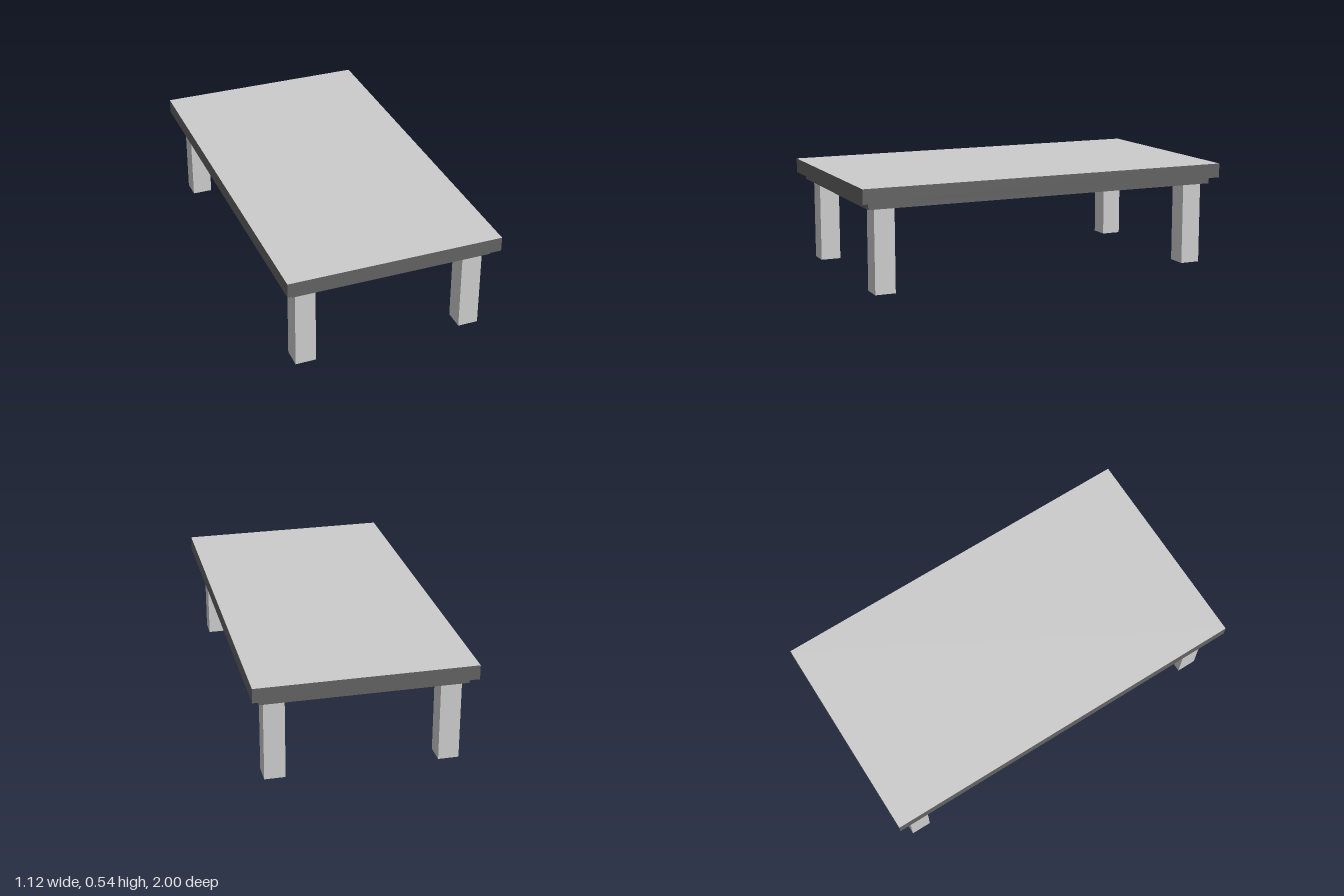
import * as THREE from 'three';

const light = new THREE.MeshStandardMaterial({ color: 0xcccccc });
const dark = new THREE.MeshStandardMaterial({ color: 0x626262 });

const LEG_TOP = 0.465, TOP = 0.54, APRON_BOTTOM = 0.43;

// Rectangle outline centred on the origin
function rectangle(PathType, halfX, halfZ) {
  return new PathType([
    new THREE.Vector2(-halfX, -halfZ),
    new THREE.Vector2(halfX, -halfZ),
    new THREE.Vector2(halfX, halfZ),
    new THREE.Vector2(-halfX, halfZ),
  ]);
}

export function createModel() {
  const table = new THREE.Group();
  table.name = 'table';

  // Top slab with dark edges
  const slab = new THREE.Mesh(
    new THREE.BoxGeometry(1.115, TOP - LEG_TOP, 2),
    [dark, dark, light, light, dark, dark]
  );
  slab.name = 'tableTop';
  slab.position.y = (TOP + LEG_TOP) / 2;
  table.add(slab);

  // Shallow apron frame under the slab, open in the middle
  const outline = rectangle(THREE.Shape, 0.52, 0.96);
  outline.holes.push(rectangle(THREE.Path, 0.495, 0.925));
  const frame = new THREE.ExtrudeGeometry(outline, {
    depth: LEG_TOP - APRON_BOTTOM,
    bevelEnabled: false,
  });
  frame.rotateX(-Math.PI / 2);
  const apron = new THREE.Mesh(frame, [light, dark]);
  apron.name = 'apron';
  apron.position.y = APRON_BOTTOM;
  table.add(apron);

  // Four square legs
  const legGeometry = new THREE.BoxGeometry(0.106, LEG_TOP, 0.106);
  for (const [sz, end] of [[1, 'front'], [-1, 'back']]) {
    for (const [sx, side] of [[1, 'Left'], [-1, 'Right']]) {
      const leg = new THREE.Mesh(legGeometry, light);
      leg.name = `${end}${side}Leg`;
      leg.position.set(sx * 0.441, LEG_TOP / 2, sz * 0.87);
      table.add(leg);
    }
  }

  return table;
}
